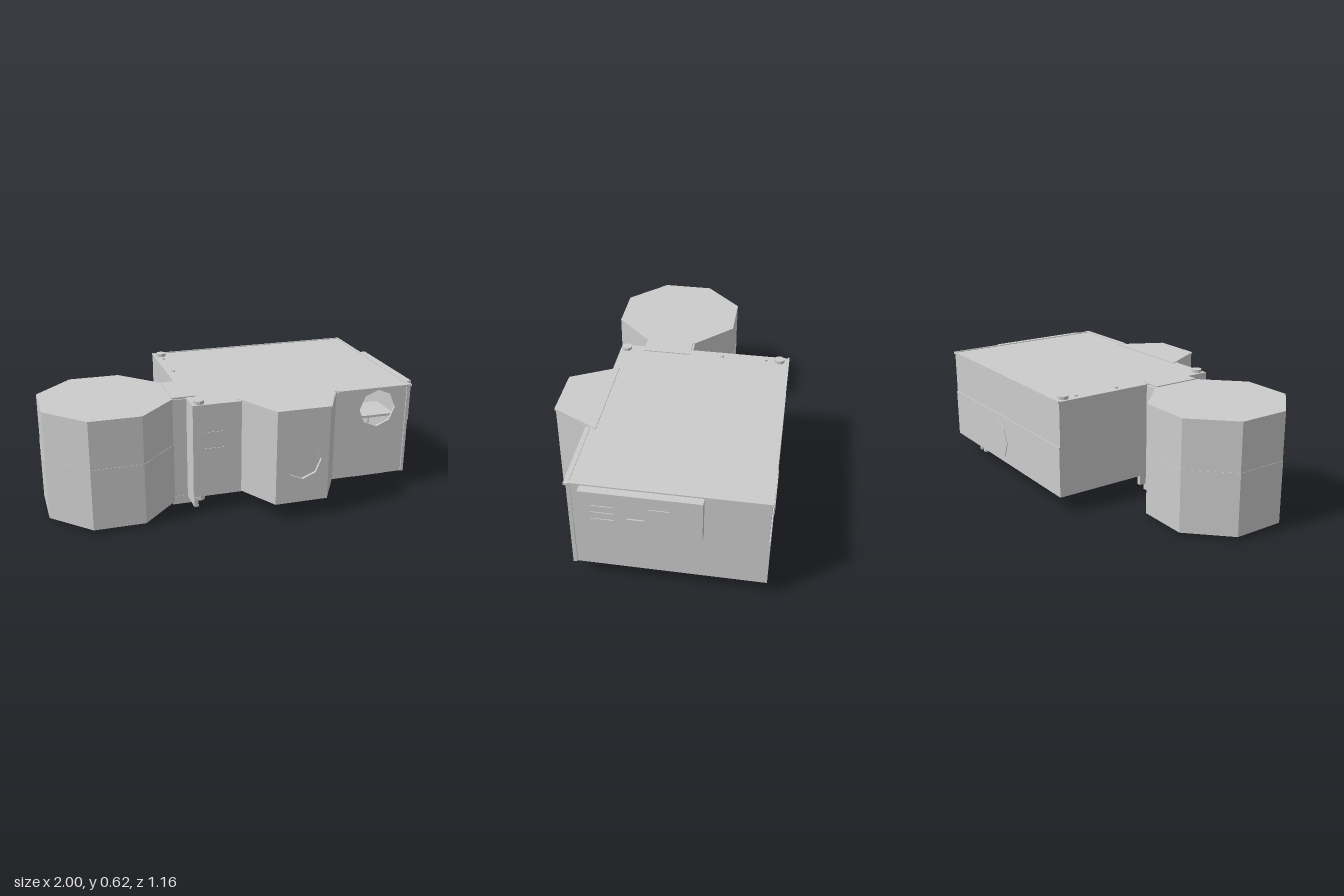
import * as THREE from 'three';

const material = new THREE.MeshStandardMaterial({ color: 0xcccccc, flatShading: true, side: THREE.DoubleSide });

export function createModel() {
  const model = new THREE.Group();

  const add = (name, geometry) => {
    const mesh = new THREE.Mesh(geometry, material);
    mesh.name = name;
    model.add(mesh);
    return mesh;
  };
  // Box given by its limits on each axis
  const box = (name, x0, x1, y0, y1, z0, z1) =>
    add(name, new THREE.BoxGeometry(x1 - x0, y1 - y0, z1 - z0)
      .translate((x0 + x1) / 2, (y0 + y1) / 2, (z0 + z1) / 2));
  // Upright prism over a plan outline of [x, z] corners
  const prism = (name, plan, y0, y1) => {
    const shape = new THREE.Shape(plan.map(([x, z]) => new THREE.Vector2(x, -z)));
    const geometry = new THREE.ExtrudeGeometry(shape, { depth: y1 - y0, bevelEnabled: false });
    return add(name, geometry.rotateX(-Math.PI / 2).translate(0, y0, 0));
  };
  const octagon = (cx, cy, r) => Array.from({ length: 8 }, (_, i) => {
    const a = i * Math.PI / 4;
    return new THREE.Vector2(cx + r * Math.sin(a), cy + r * Math.cos(a));
  });
  // Upright wall facing z with an eight-sided opening
  const windowWall = (name, x0, x1, y0, y1, z0, z1, cx, cy, r) => {
    const shape = new THREE.Shape([[x0, y0], [x1, y0], [x1, y1], [x0, y1]].map(p => new THREE.Vector2(...p)));
    shape.holes.push(new THREE.Path(octagon(cx, cy, r)));
    return add(name, new THREE.ExtrudeGeometry(shape, { depth: z1 - z0, bevelEnabled: false }).translate(0, 0, z0));
  };
  const cylinder = (name, x, y0, y1, z, r, sides = 8) =>
    add(name, new THREE.CylinderGeometry(r, r, y1 - y0, sides).translate(x, (y0 + y1) / 2, z));

  // Hollow main hall: lower and upper storeys
  box('floor', -0.26, 0.945, 0.095, 0.105, -0.583, 0.365);
  box('roof', -0.26, 0.945, 0.597, 0.605, -0.58, 0.365);
  box('lowerBackWall', -0.26, 0.945, 0.1, 0.365, -0.583, -0.57);
  box('upperBackWall', -0.26, 0.945, 0.365, 0.6, -0.577, -0.565);
  box('leftWall', -0.26, -0.248, 0.1, 0.6, -0.577, 0.365);
  box('lowerRightWall', 0.933, 0.945, 0.1, 0.365, -0.58, 0.36);
  box('upperRightWall', 0.936, 0.948, 0.365, 0.6, -0.577, 0.365);
  windowWall('frontWall', -0.26, 0.945, 0.1, 0.6, 0.352, 0.365, 0.77, 0.485, 0.105);
  box('roofBackLip', -0.262, 0.95, 0.6, 0.609, -0.584, -0.574);
  box('roofRightLip', 0.938, 0.952, 0.597, 0.609, -0.584, 0.37);
  box('roofFrontLip', 0.53, 0.957, 0.597, 0.609, 0.36, 0.384);
  box('frontCornerPost', 0.936, 0.952, 0.095, 0.605, 0.352, 0.372);

  // Fittings seen through the hall window
  box('innerShelf', 0.66, 0.88, 0.425, 0.437, 0.14, 0.34);
  cylinder('shelfCup', 0.705, 0.437, 0.485, 0.26, 0.013);
  cylinder('shelfPost', 0.768, 0.105, 0.425, 0.26, 0.008);

  // Hollow tapered bay on the front
  windowWall('bayFront', 0.12, 0.405, 0.1, 0.6, 0.558, 0.572, 0.265, 0.325, 0.1);
  prism('bayRightWall', [[-0.005, 0.355], [0.12, 0.572], [0.134, 0.565], [0.012, 0.352]], 0.1, 0.6);
  prism('bayLeftWall', [[0.53, 0.355], [0.405, 0.572], [0.391, 0.565], [0.513, 0.352]], 0.1, 0.6);
  prism('bayFloor', [[-0.005, 0.35], [0.12, 0.572], [0.405, 0.572], [0.53, 0.35]], 0.097, 0.105);
  prism('bayRoof', [[-0.015, 0.33], [0.117, 0.578], [0.408, 0.578], [0.538, 0.33]], 0.598, 0.61);

  // Eight-sided tower and its neck
  const towerPlan = [[-1, -0.04], [-0.8, -0.24], [-0.53, -0.24], [-0.33, -0.04],
    [-0.33, 0.235], [-0.53, 0.435], [-0.8, 0.435], [-1, 0.235]];
  prism('towerBase', towerPlan, 0.02, 0.35);
  prism('towerTop', towerPlan.map(([x, z]) => [-0.665 + (x + 0.665) * 0.995, 0.0975 + (z - 0.0975) * 0.995]), 0.35, 0.605);
  box('neck', -0.34, -0.255, 0.04, 0.6, -0.02, 0.22);
  box('neckRoof', -0.335, -0.21, 0.598, 0.61, -0.03, 0.23);
  for (const z of [-0.035, 0.23]) {
    box('neckBracket', -0.34, -0.24, 0.003, 0.05, z - 0.007, z + 0.007);
    box('neckSide', -0.335, -0.255, 0.04, 0.6, z - 0.006, z + 0.006);
  }
  box('underNeckRail', -0.258, -0.235, 0.04, 0.095, -0.08, 0.37);

  // Roof knobs and pins, with one matching knob below
  for (const z of [-0.53, 0.33]) cylinder('roofKnob', -0.22, 0.6, 0.622, z, 0.028, 10);
  for (const z of [-0.455, -0.21]) cylinder('roofPin', -0.22, 0.6, 0.613, z, 0.01);
  cylinder('lowerKnob', -0.22, 0.07, 0.1, 0.335, 0.028, 10);

  // Right-hand cabinet with thin grille strips
  box('sideCabinet', 0.945, 0.993, 0.375, 0.602, -0.272, 0.308);
  for (const y of [0.44, 0.48, 0.52]) box('cabinetStrip', 0.99, 0.997, y, y + 0.006, 0.14, 0.25);
  box('cabinetStrip', 0.99, 0.997, 0.53, 0.536, -0.12, -0.02);
  box('cabinetStrip', 0.99, 1, 0.46, 0.466, 0, 0.08);

  // Front vents
  for (const y of [0.36, 0.45]) box('frontVent', -0.2, -0.09, y, y + 0.005, 0.36, 0.368);

  // Eight-sided hatches on the back and the underside
  const backHatch = add('backHatch', new THREE.CylinderGeometry(0.118, 0.118, 0.012, 8));
  backHatch.rotation.x = Math.PI / 2;
  backHatch.position.set(0.42, 0.215, -0.581);
  cylinder('floorHatch', 0.29, 0.088, 0.1, -0.07, 0.098);

  // Blocks and plate under the floor
  box('underBlock', 0.64, 0.775, 0.062, 0.098, -0.29, -0.195);
  for (const x of [0.64, 0.69]) box('underBar', x, x + 0.025, 0.055, 0.098, -0.558, -0.445);
  box('underPlate', 0.65, 0.845, 0.086, 0.098, -0.185, 0.35);

  return model;
}
